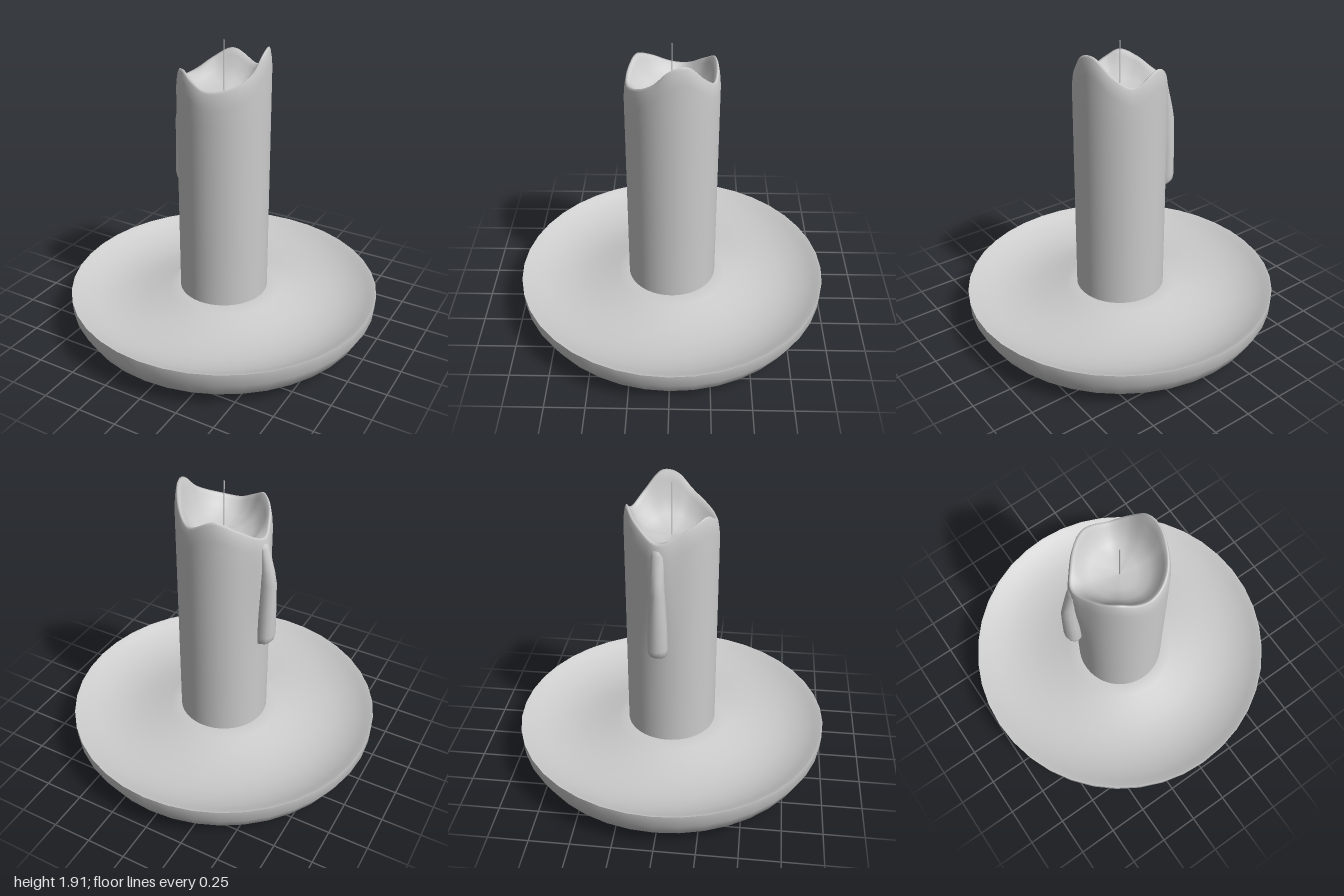
import * as THREE from 'three';

const material = new THREE.MeshStandardMaterial({ color: 0xcccccc });
const doubleSided = new THREE.MeshStandardMaterial({ color: 0xcccccc, side: THREE.DoubleSide });

function part(name, geometry, mat = material) {
  const mesh = new THREE.Mesh(geometry, mat);
  mesh.name = name;
  return mesh;
}

// Joins closed rings of points (bottom to top, angle running from +x to +z) into one smooth skin
function skin(rings) {
  const n = rings[0].length;
  const index = [];
  for (let j = 0; j < rings.length - 1; j++) {
    for (let i = 0; i < n; i++) {
      const k = (i + 1) % n;
      const a = j * n + i, b = j * n + k, c = a + n, d = b + n;
      index.push(a, c, b, b, c, d);
    }
  }
  const geometry = new THREE.BufferGeometry();
  geometry.setAttribute('position', new THREE.Float32BufferAttribute(rings.flat(2), 3));
  geometry.setIndex(index);
  geometry.computeVertexNormals();
  return geometry;
}

const lathe = (profile) => new THREE.LatheGeometry(profile.map(([r, y]) => new THREE.Vector2(r, y)), 40);

// Rounded underside, up to the rim
const plateOutside = [
  [0, 0], [0.34, 0.003], [0.6, 0.016], [0.78, 0.035], [0.94, 0.09], [0.995, 0.19], [1, 0.272],
];
// Top: from the rim down into a ring-shaped trough and up again to the candle
const plateInside = [
  [1, 0.272], [0.985, 0.268], [0.95, 0.248], [0.9, 0.226], [0.83, 0.204], [0.75, 0.191], [0.65, 0.188],
  [0.55, 0.2], [0.45, 0.22], [0.36, 0.244], [0.28, 0.264], [0, 0.264],
];

// Candle body: straight sides, a wavy melted rim and a bowl around the wick
function candleGeometry() {
  const R = 0.285, floor = 1.58, dripAngle = THREE.MathUtils.degToRad(190);
  // rim height by angle in degrees
  const rim = new THREE.CatmullRomCurve3([
    [-22, 1.88], [-8, 1.885], [5, 1.855], [22, 1.775], [45, 1.715], [83, 1.68], [105, 1.725], [125, 1.77],
    [150, 1.73], [190, 1.65], [225, 1.73], [253, 1.79], [290, 1.715], [315, 1.78],
  ].map(([deg, h]) => {
    const a = THREE.MathUtils.degToRad(deg);
    return new THREE.Vector3(Math.cos(a), h, Math.sin(a));
  }), true, 'centripetal');
  const columns = rim.getPoints(112).slice(0, -1).map((p) => ({ a: Math.atan2(p.z, p.x), h: p.y }));

  // [radius, height for a column with rim height h]
  const rows = [
    [R, () => 0.25], [R, () => 0.6], [R, () => 0.9], [R, () => 1.1], [R, () => 1.3],
    [R, (h) => 1.3 + (h - 1.3) * 0.4], [R, (h) => h - 0.11], [0.28, (h) => h - 0.055],
    [0.273, (h) => h - 0.015], [0.266, (h) => h], [0.256, (h) => h - 0.006],
    [0.24, (h) => floor + (h - floor) * 0.8], [0.215, (h) => floor + (h - floor) * 0.5],
    [0.17, (h) => floor + (h - floor) * 0.2], [0.1, (h) => floor + (h - floor) * 0.04],
    [0, () => floor],
  ];
  const rings = rows.map(([radius, height], row) => columns.map(({ a, h }) => {
    const y = height(h);
    // soft swelling where the wax runs over
    const turn = Math.atan2(Math.sin(a - dripAngle), Math.cos(a - dripAngle));
    const swell = row < 11 ? 0.028 * Math.exp(-((turn / 0.28) ** 2)) * THREE.MathUtils.smoothstep(y, 0.9, 1.45) : 0;
    const r = radius + swell;
    return [r * Math.cos(a), y, r * Math.sin(a)];
  }));
  return skin(rings);
}

// Run of wax hanging from the low point of the rim: [height, outer x, half width]
function dripGeometry() {
  const inner = -0.268, z = -0.05, sides = 12;
  const sections = [
    [0.885, -0.28, 0.005], [0.905, -0.3, 0.032], [0.925, -0.35, 0.05], [0.945, -0.368, 0.058],
    [0.98, -0.375, 0.062], [1.15, -0.375, 0.057], [1.35, -0.373, 0.045], [1.43, -0.358, 0.041],
    [1.5, -0.338, 0.04], [1.58, -0.315, 0.038], [1.61, -0.302, 0.03], [1.625, -0.28, 0.004],
  ];
  return skin(sections.map(([y, outer, w]) => Array.from({ length: sides }, (_, i) => {
    const a = (i / sides) * Math.PI * 2;
    const cx = (inner + outer) / 2, hx = (inner - outer) / 2;
    return [cx + hx * Math.cos(a), y, z + w * Math.sin(a)];
  })));
}

export function createModel() {
  const model = new THREE.Group();
  model.name = 'candleOnPlate';

  // Plate
  const plate = new THREE.Group();
  plate.name = 'plate';
  plate.add(part('plateUnderside', lathe(plateOutside)), part('plateTop', lathe(plateInside)));
  model.add(plate);

  // Candle with its run of wax
  model.add(part('candle', candleGeometry(), doubleSided));
  model.add(part('waxDrip', dripGeometry()));

  // Wick
  const wick = part('wick', new THREE.CylinderGeometry(0.004, 0.004, 0.34, 8));
  wick.position.y = 1.74;
  model.add(wick);
  return model;
}
